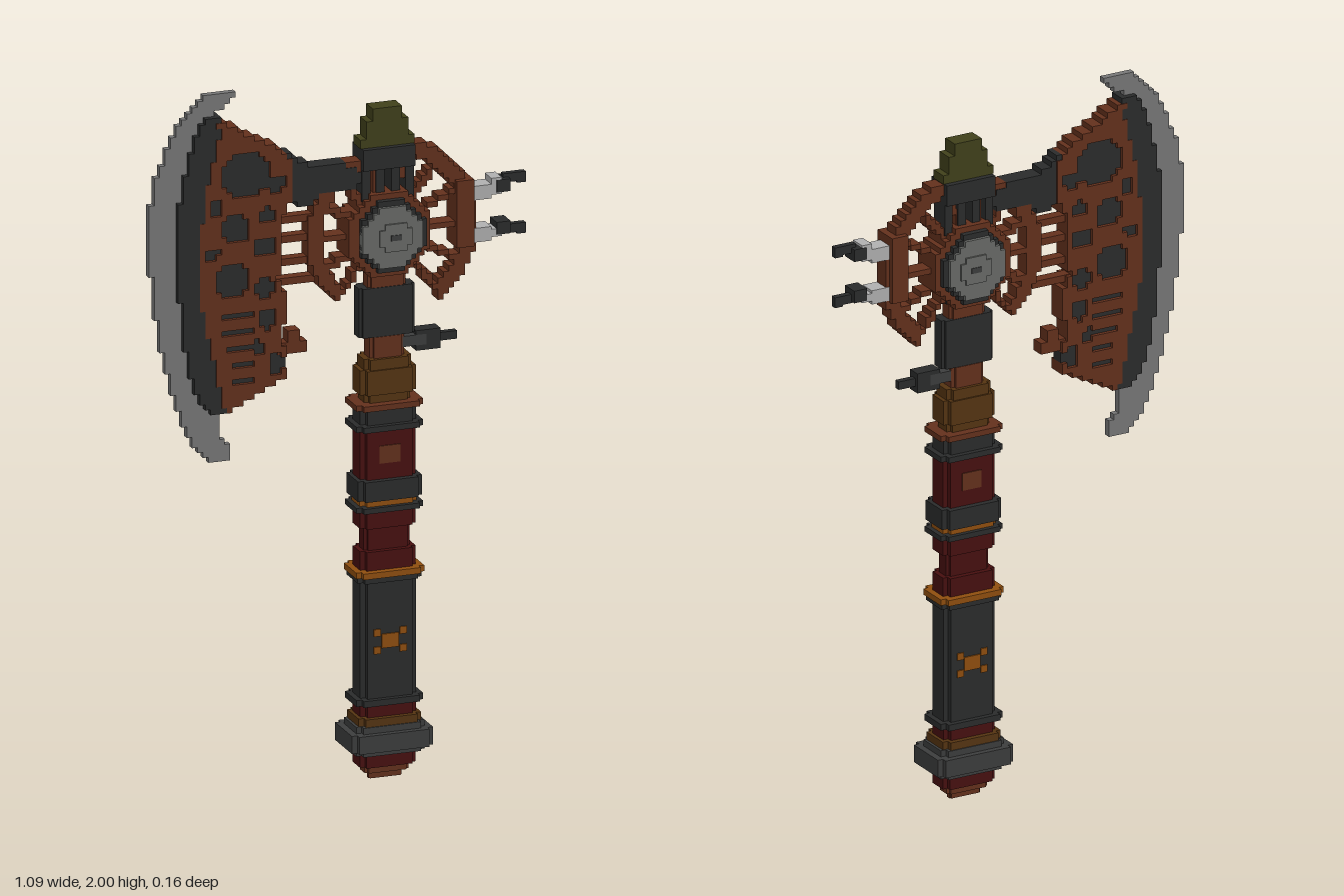
import * as THREE from 'three';

const V = 1 / 64;      // block size
const CX = 0.135;      // handle axis
const HY = 1.555;      // hub height
const C = {
  steel: 0x777777, pale: 0xb0b0b0, dark: 0x2a2b2b, iron: 0x3c3d3d, rust: 0x63301c, red: 0x470f0f,
  orange: 0x8f4e0e, gold: 0x553411, olive: 0x40401a, hub: 0x686a67,
};
const mats = {};
const mat = (c) => (mats[c] ??= new THREE.MeshStandardMaterial({ color: C[c], flatShading: true }));

// Even-odd test for a flat list of x, y corners
function inPoly(p) {
  return (x, y) => {
    let inside = false;
    for (let i = 0, j = p.length - 2; i < p.length; j = i, i += 2) {
      if ((p[i + 1] > y) !== (p[j + 1] > y) &&
        x < ((p[j] - p[i]) * (y - p[i + 1])) / (p[j + 1] - p[i + 1]) + p[i]) inside = !inside;
    }
    return inside;
  };
}
const octagon = (cx, cy, r) => (x, y) => {
  const a = Math.abs(x - cx), b = Math.abs(y - cy);
  return Math.max(a, b) < r && a + b < 1.42 * r;
};

// Flat plate of blocks: every cell that passes the test, outer faces only
function plate(group, name, color, dz, test) {
  const pos = [];
  const quad = (a, b, c, d) => pos.push(...a, ...b, ...c, ...a, ...c, ...d);
  const on = (i, j) => test((i + 0.5) * V, (j + 0.5) * V);
  for (let i = -36; i < 36; i++) for (let j = 0; j < 129; j++) {
    if (!on(i, j)) continue;
    const x = i * V, X = x + V, y = j * V, Y = y + V;
    quad([x, y, dz], [X, y, dz], [X, Y, dz], [x, Y, dz]);
    quad([X, y, -dz], [x, y, -dz], [x, Y, -dz], [X, Y, -dz]);
    if (!on(i + 1, j)) quad([X, y, dz], [X, y, -dz], [X, Y, -dz], [X, Y, dz]);
    if (!on(i - 1, j)) quad([x, y, -dz], [x, y, dz], [x, Y, dz], [x, Y, -dz]);
    if (!on(i, j + 1)) quad([x, Y, dz], [X, Y, dz], [X, Y, -dz], [x, Y, -dz]);
    if (!on(i, j - 1)) quad([x, y, -dz], [X, y, -dz], [X, y, dz], [x, y, dz]);
  }
  const g = new THREE.BufferGeometry();
  g.setAttribute('position', new THREE.Float32BufferAttribute(pos, 3));
  g.computeVertexNormals();
  const m = new THREE.Mesh(g, mat(color));
  m.name = name;
  group.add(m);
}

// Box given by its x and y limits and half depth
function box(group, name, color, x0, x1, y0, y1, dz) {
  const m = new THREE.Mesh(new THREE.BoxGeometry(x1 - x0, y1 - y0, dz * 2), mat(color));
  m.position.set((x0 + x1) / 2, (y0 + y1) / 2, 0);
  m.name = name;
  group.add(m);
}

// Handle section with notched corners
function section(group, name, color, y0, y1, hw, dz) {
  const n = Math.min(V, dz / 3), s = new THREE.Shape();
  [[hw, dz - n], [hw - n, dz - n], [hw - n, dz], [n - hw, dz], [n - hw, dz - n], [-hw, dz - n],
    [-hw, n - dz], [n - hw, n - dz], [n - hw, -dz], [hw - n, -dz], [hw - n, n - dz], [hw, n - dz]]
    .forEach(([x, y], i) => (i ? s.lineTo(x, y) : s.moveTo(x, y)));
  const g = new THREE.ExtrudeGeometry(s, { depth: y1 - y0, bevelEnabled: false }).rotateX(-Math.PI / 2);
  const m = new THREE.Mesh(g, mat(color));
  m.position.set(CX, y0, 0);
  m.name = name;
  group.add(m);
}

export function createModel() {
  const axe = new THREE.Group();
  axe.name = 'battleAxe';
  const part = (name) => {
    const g = new THREE.Group();
    g.name = name;
    axe.add(g);
    return g;
  };

  // Handle, from pommel to neck
  const handle = part('handle');
  [
    ['pommelTip', 'rust', 0, 0.02, 0.047, 0.01], ['pommelTip', 'rust', 0.02, 0.04, 0.063, 0.027],
    ['pommelBase', 'red', 0.04, 0.08, 0.08, 0.042], ['pommel', 'iron', 0.08, 0.095, 0.098, 0.063],
    ['pommel', 'iron', 0.095, 0.145, 0.117, 0.08], ['pommel', 'iron', 0.145, 0.163, 0.098, 0.063],
    ['pommelRing', 'gold', 0.163, 0.185, 0.09, 0.06], ['lowerBand', 'red', 0.185, 0.22, 0.08, 0.045],
    ['lowerCollar', 'dark', 0.22, 0.238, 0.096, 0.06], ['grip', 'dark', 0.238, 0.57, 0.08, 0.045],
    ['gripCollar', 'dark', 0.57, 0.585, 0.092, 0.058], ['gripRing', 'orange', 0.585, 0.602, 0.098, 0.063],
    ['middleWrap', 'red', 0.602, 0.655, 0.08, 0.043], ['middleWaist', 'red', 0.655, 0.72, 0.066, 0.028],
    ['middleWrap', 'red', 0.72, 0.77, 0.08, 0.043], ['middleCollar', 'dark', 0.77, 0.785, 0.096, 0.06],
    ['middleRing', 'orange', 0.785, 0.803, 0.082, 0.047], ['middleCollar', 'dark', 0.803, 0.86, 0.092, 0.06],
    ['upperWrap', 'red', 0.86, 1.0, 0.08, 0.043], ['upperCollar', 'dark', 1.0, 1.016, 0.096, 0.06],
    ['upperBand', 'dark', 1.016, 1.06, 0.08, 0.045], ['upperCollar', 'rust', 1.06, 1.076, 0.096, 0.06],
    ['neckBase', 'gold', 1.076, 1.1, 0.066, 0.035], ['neckBlock', 'gold', 1.1, 1.17, 0.08, 0.045],
    ['neckBlock', 'gold', 1.17, 1.2, 0.068, 0.04], ['neck', 'rust', 1.2, 1.26, 0.05, 0.03],
    ['socket', 'dark', 1.26, 1.4, 0.08, 0.028], ['socketTop', 'rust', 1.4, 1.45, 0.055, 0.026],
    ['socketTop', 'dark', 1.45, 1.5, 0.08, 0.03],
  ].forEach((s) => section(handle, ...s));
  box(handle, 'wrapPanel', 'rust', CX - 0.03, CX + 0.03, 0.905, 0.955, 0.046);
  // Emblem showing on both faces of the grip
  box(handle, 'gripEmblem', 'orange', CX - 0.025, CX + 0.025, 0.38, 0.42, 0.049);
  for (const sx of [-1, 1]) for (const y of [0.375, 0.425])
    box(handle, 'emblemCorner', 'orange', CX + sx * 0.037 - 0.01, CX + sx * 0.037 + 0.01, y - 0.01, y + 0.01, 0.049);

  // Hub and spoked ring
  const hub = part('hub');
  plate(hub, 'hubCore', 'rust', 0.047, octagon(CX, HY, 0.115));
  plate(hub, 'hubRim', 'dark', 0.064, octagon(CX, HY, 0.095));
  plate(hub, 'hubCap', 'hub', 0.074, octagon(CX, HY, 0.082));
  plate(hub, 'hubButton', 'hub', 0.08, octagon(CX, HY, 0.045));
  plate(hub, 'hubPin', 'iron', 0.082, octagon(CX, HY, 0.014));
  plate(hub, 'spokedRing', 'rust', 0.024, (x, y) => {
    const dx = x - CX, dy = y - HY, r = Math.hypot(dx, dy), a = Math.atan2(dy, dx);
    if (dy < 0 && Math.abs(dx) < -dy * 0.75) return false;
    const outer = dx > 0 ? 0.26 : 0.232;
    if (r > outer - 0.042 && r < outer) return true;
    const step = Math.PI / 7;
    return r > 0.09 && r < 0.22 && Math.abs(r * Math.sin(a - Math.round(a / step) * step)) < 0.009;
  });
  box(hub, 'rearBlock', 'rust', 0.33, 0.38, 1.49, 1.68, 0.04);

  // Finial on top of the hub
  const finial = part('finial');
  for (const dx of [-0.063, -0.022, 0.022, 0.063])
    box(finial, 'finialPost', 'dark', CX + dx - 0.012, CX + dx + 0.012, 1.65, 1.75, 0.03);
  box(finial, 'finialBase', 'dark', CX - 0.075, CX + 0.075, 1.74, 1.8, 0.042);
  [[1.8, 1.825, 0.078], [1.825, 1.875, 0.06], [1.875, 1.91, 0.042]].forEach(([a, b, w]) =>
    box(finial, 'finialCap', 'olive', CX - w, CX + w, a, b, 0.026));

  // Blade: edge, backing band and plate with sunken panels
  const blade = part('blade');
  plate(blade, 'cuttingEdge', 'steel', 0.01, inPoly([
    -0.285, 2, -0.385, 2, -0.465, 1.925, -0.52, 1.79, -0.547, 1.66, -0.54, 1.5, -0.515, 1.315,
    -0.475, 1.155, -0.43, 1.025, -0.38, 0.96, -0.31, 0.945, -0.31, 0.985, -0.35, 1.03, -0.35, 1.1,
    -0.4, 1.18, -0.44, 1.34, -0.455, 1.55, -0.45, 1.68, -0.41, 1.85, -0.38, 1.93, -0.315, 1.975]));
  plate(blade, 'edgeBand', 'dark', 0.027, inPoly([
    -0.35, 1.93, -0.395, 1.93, -0.43, 1.85, -0.465, 1.68, -0.47, 1.55, -0.455, 1.34, -0.425, 1.18,
    -0.375, 1.09, -0.33, 1.1, -0.36, 1.21, -0.4, 1.39, -0.41, 1.55, -0.385, 1.74, -0.345, 1.9]));
  const body = inPoly([
    -0.36, 1.93, -0.28, 1.885, -0.15, 1.81, -0.14, 1.68, -0.175, 1.63, -0.18, 1.45, -0.15, 1.4,
    -0.17, 1.3, -0.15, 1.18, -0.31, 1.1, -0.335, 1.1, -0.36, 1.21, -0.4, 1.39, -0.41, 1.55, -0.385, 1.74, -0.345, 1.9]);
  const panels = [[-0.27, 1.765, 0.066], [-0.31, 1.465, 0.05], [-0.3, 1.615, 0.04], [-0.185, 1.73, 0.026],
    [-0.22, 1.555, 0.03], [-0.22, 1.44, 0.028], [-0.36, 1.68, 0.02], [-0.37, 1.55, 0.02], [-0.21, 1.645, 0.022],
    [-0.21, 1.35, 0.03], [-0.185, 1.22, 0.025], [-0.24, 1.27, 0.02]].map((p) => octagon(...p));
  const sunk = (x, y) => panels.some((f) => f(x, y)) ||
    (y > 1.16 && y < 1.38 && x > -0.35 + (1.38 - y) * 0.2 && x < -0.255 && Math.floor(y / V) % 3 === 0);
  plate(blade, 'bladePlate', 'rust', 0.029, (x, y) => body(x, y) && !sunk(x, y));
  plate(blade, 'sunkenPanels', 'dark', 0.018, (x, y) => body(x, y) && sunk(x, y));
  box(blade, 'lowerStub', 'rust', -0.18, -0.095, 1.24, 1.272, 0.02);
  box(blade, 'lowerStub', 'rust', -0.15, -0.115, 1.265, 1.305, 0.02);

  // Links between blade and hub
  const links = part('bladeLinks');
  plate(links, 'upperArm', 'dark', 0.026, inPoly([
    -0.15, 1.81, -0.14, 1.67, -0.09, 1.65, -0.05, 1.69, 0.01, 1.68, 0.06, 1.7, 0.06, 1.74, -0.02, 1.77, -0.09, 1.77]));
  for (const y of [1.62, 1.565, 1.5, 1.445]) box(links, 'linkRod', 'rust', -0.19, -0.07, y - 0.01, y + 0.01, 0.016);

  // Rear claws and the small claw on the neck
  const claws = part('claws');
  for (const [y, up] of [[1.635, 1], [1.515, 0]]) {
    box(claws, 'clawMount', 'pale', 0.38, 0.435, y - 0.02, y + 0.02, 0.025);
    box(claws, 'clawMount', 'pale', 0.435, 0.465, y - 0.01, y + 0.025 * up + 0.012, 0.025);
    box(claws, 'clawArm', 'dark', 0.45, 0.49, y - 0.005, y + 0.03, 0.026);
    box(claws, 'clawTip', 'dark', 0.475, 0.54, y + 0.015 - 0.025 * (1 - up), y + 0.04 - 0.025 * (1 - up), 0.009);
    box(claws, 'clawTip', 'dark', 0.515, 0.54, y + 0.01 - 0.025 * (1 - up), y + 0.03 - 0.025 * (1 - up), 0.009);
  }
  box(claws, 'neckClawMount', 'iron', 0.18, 0.25, 1.22, 1.25, 0.02);
  box(claws, 'neckClaw', 'dark', 0.22, 0.29, 1.205, 1.262, 0.02);
  box(claws, 'neckClawTip', 'dark', 0.28, 0.342, 1.222, 1.245, 0.009);
  return axe;
}
